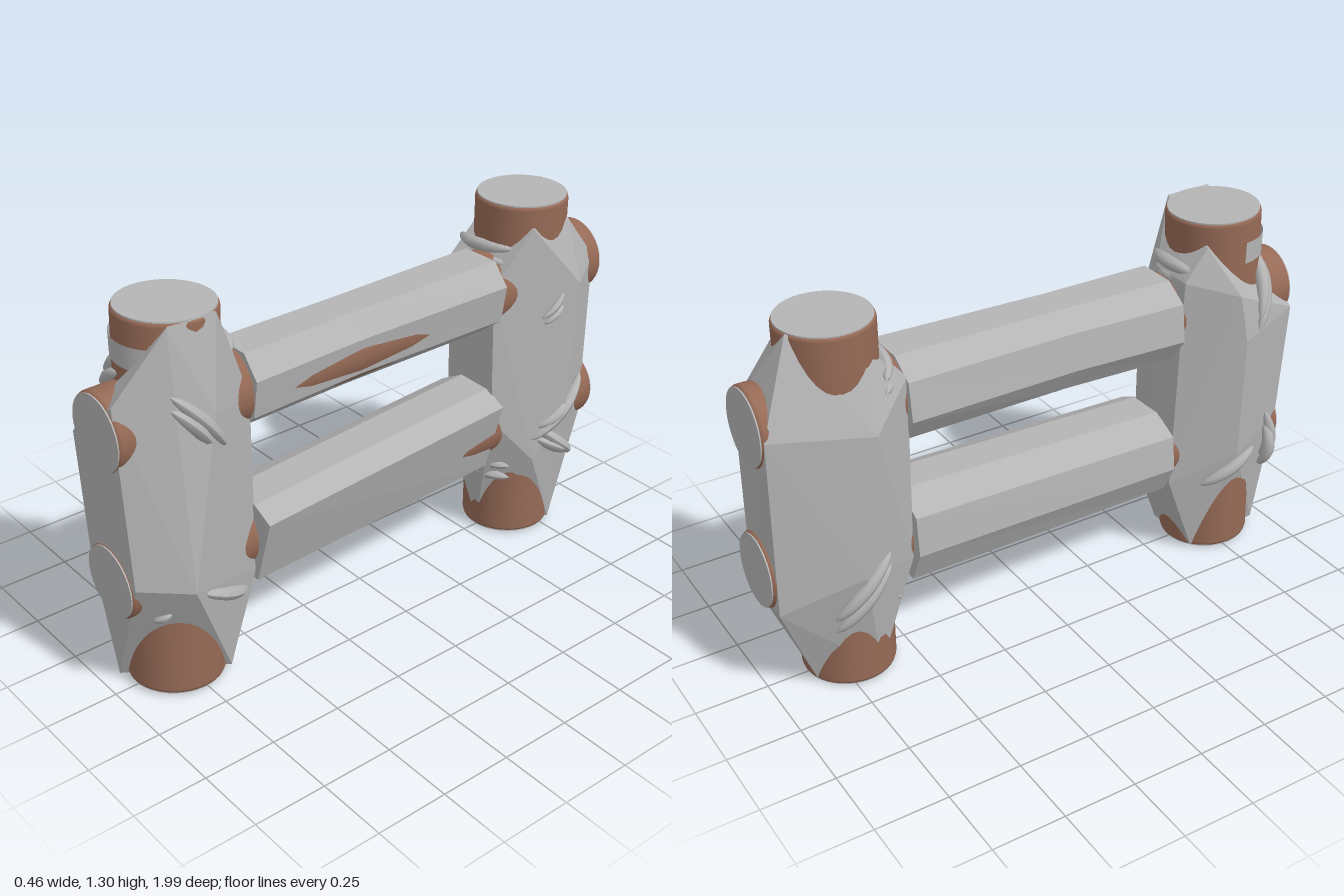
import * as THREE from 'three';
import { ConvexGeometry } from 'three/addons/geometries/ConvexGeometry.js';

const V = (x, y, z) => new THREE.Vector3(x, y, z);

export function createModel() {
  const model = new THREE.Group();
  const grey = new THREE.MeshStandardMaterial({ color: 0xb4b4b4, side: THREE.DoubleSide });
  grey.name = 'pale grey';
  const brown = new THREE.MeshStandardMaterial({ color: 0x966a56 });
  brown.name = 'bark brown';

  function add(name, geometry, material, parent = model) {
    const mesh = new THREE.Mesh(geometry, material);
    mesh.name = name;
    parent.add(mesh);
    return mesh;
  }

  // Round log between two points: softened brown rim, pale cut ends
  function log(name, a, b, r) {
    const g = new THREE.Group();
    const h = a.distanceTo(b) / 2;
    const rim = [[r - 0.012, h], [r - 0.003, h - 0.004], [r, h - 0.014]];
    const profile = [
      ...rim.map(([x, y]) => new THREE.Vector2(x, -y)),
      ...rim.reverse().map(([x, y]) => new THREE.Vector2(x, y)),
    ];
    add(name + 'Bark', new THREE.LatheGeometry(profile, 40), brown, g);
    for (const s of [-1, 1]) {
      const cap = add(name + 'CutEnd', new THREE.CylinderGeometry(r - 0.006, r - 0.006, 0.006, 40), grey, g);
      cap.position.y = s * (h - 0.001);
    }
    g.name = name;
    g.position.copy(a).add(b).multiplyScalar(0.5);
    g.quaternion.setFromUnitVectors(V(0, 1, 0), b.clone().sub(a).normalize());
    model.add(g);
  }
  log('frontPost', V(0, 0.005, 0.768), V(0, 1.29, 0.724), 0.16);
  log('backPost', V(0, 0.004, -0.705), V(0, 1.272, -0.71), 0.157);
  log('upperRail', V(0.005, 0.95, 0.988), V(0, 0.975, -0.988), 0.13);
  log('lowerRail', V(0, 0.425, 0.982), V(0, 0.463, -0.997), 0.127);

  // Faceted jackets around the posts
  const hull = (name, pts) => add(name, new ConvexGeometry(pts.map((p) => V(...p))), grey);
  hull('frontPostJacket', [
    [0.152, 1.29, 0.65], [0.156, 1.29, 0.82], [-0.125, 1.21, 0.61], [-0.16, 1.12, 0.68],
    [-0.13, 0.9, 0.988], [0.1, 1.07, 0.985], [0.14, 0.46, 0.978], [-0.11, 0.45, 0.978],
    [0.23, 0.43, 0.82], [0.2, 1.0, 0.7],
    [-0.23, 0.88, 0.72], [-0.22, 1.05, 0.69], [-0.2, 0.42, 0.74],
    [0.1, 0.95, 0.51], [0.04, 1.1, 0.53], [-0.12, 1.1, 0.53], [0.1, 0.32, 0.51], [-0.11, 0.32, 0.515],
    [-0.07, 0.01, 0.94], [0.12, 0.01, 0.635], [-0.1, 0.01, 0.635],
  ]);
  hull('backPostJacket', [
    [-0.06, 1.272, -0.86], [0.14, 1.2, -0.63], [0.14, 1.19, -0.8], [-0.13, 1.18, -0.65],
    [0.1, 1.0, -0.975], [-0.13, 0.98, -0.98], [0.08, 0.36, -0.985], [-0.13, 0.36, -0.985],
    [0.21, 0.98, -0.8], [0.2, 0.5, -0.78], [0.18, 0.32, -0.65],
    [-0.22, 0.95, -0.66], [-0.21, 0.45, -0.72],
    [0.1, 1.0, -0.5], [-0.12, 1.06, -0.505], [0.11, 0.5, -0.505], [-0.12, 0.4, -0.51],
    [0.14, 0.01, -0.79], [-0.06, 0.01, -0.85], [0.0, 0.01, -0.56], [-0.13, 0.02, -0.65],
  ]);

  // Faceted sleeves on the rails: one outline swept through [z, y, scaleX, scaleY, x]
  function sleeve(name, outline, sections) {
    const pos = [];
    const pt = (s, i) => {
      const [z, y, sx, sy, x] = sections[s];
      const [px, py] = outline[i % outline.length];
      return [x + px * sx, y + py * sy, z];
    };
    const last = sections.length - 1;
    for (let i = 0; i < outline.length; i++) {
      for (let s = 0; s < last; s++) {
        const a = pt(s, i), b = pt(s, i + 1), c = pt(s + 1, i + 1), d = pt(s + 1, i);
        pos.push(...a, ...b, ...c, ...a, ...c, ...d);
      }
      pos.push(0, sections[0][1], sections[0][0], ...pt(0, i + 1), ...pt(0, i));
      pos.push(0, sections[last][1], sections[last][0], ...pt(last, i), ...pt(last, i + 1));
    }
    const g = new THREE.BufferGeometry();
    g.setAttribute('position', new THREE.Float32BufferAttribute(pos, 3));
    g.computeVertexNormals();
    add(name, g, grey);
  }
  // outlines run clockwise as seen from the front; narrow spots let bark show through
  sleeve('upperRailSleeve', [
    [0.145, 0.06], [0.125, -0.07], [0.04, -0.14], [-0.09, -0.14],
    [-0.15, -0.05], [-0.132, 0.08], [-0.05, 0.134], [0.085, 0.134],
  ], [[0.515, 0.953, 1.02, 1, 0], [0.09, 0.96, 0.935, 0.985, 0], [-0.51, 0.966, 1.04, 1, 0]]);
  sleeve('lowerRailSleeve', [
    [0.18, 0.1], [0.105, -0.135], [-0.09, -0.135],
    [-0.145, -0.03], [-0.13, 0.09], [-0.03, 0.14], [0.1, 0.138],
  ], [[0.515, 0.424, 1, 1.03, 0.01], [-0.51, 0.46, 1, 1.14, -0.02]]);

  // Band round the front of the front post, below its top
  add('frontPostBand', new THREE.CylinderGeometry(0.166, 0.166, 0.075, 30, 1, true, -1.5, 3), grey)
    .position.set(0, 1.175, 0.728);

  // Lashing strands: bowed tubes that taper to both ends
  function strand(a, b, out, r = 0.023) {
    const A = V(...a), B = V(...b);
    const mid = A.clone().add(B).multiplyScalar(0.5).add(V(...out));
    const curve = new THREE.QuadraticBezierCurve3(A, mid, B);
    const segs = 14, sides = 8;
    const g = new THREE.TubeGeometry(curve, segs, r, sides);
    const p = g.attributes.position, v = V(0, 0, 0);
    for (let i = 0; i < p.count; i++) {
      const t = Math.floor(i / (sides + 1)) / segs;
      const c = curve.getPointAt(t);
      v.fromBufferAttribute(p, i).sub(c).multiplyScalar(Math.sqrt(Math.sin(Math.PI * t) + 1e-6)).add(c);
      p.setXYZ(i, v.x, v.y, v.z);
    }
    g.computeVertexNormals();
    add('lashingStrand', g, grey);
  }
  for (const d of [0, 1]) {
    const o = d * 0.045;
    // front post, upper lashing
    strand([0.18, 1.09 - o, 0.84], [0.17, 0.86 + o / 4, 0.65 + o], [0.05, 0.03, 0]);
    strand([-0.22, 0.9 + o, 0.78], [0.0, 1.11 + o, 0.88 - o], [-0.04, 0.05, 0.06]);
    strand([-0.13, 1.08 + o, 0.575], [0.11, 1.08 + o, 0.575], [0, 0.01, -0.06]);
    // front post, lower lashing
    strand([-0.17, 0.53 - o, 0.88], [-0.11 - o, 0.31, 0.92 - o], [-0.06, -0.02, 0.02]);
    // back post, upper lashing
    strand([-0.17, 1.05 + o, -0.6], [0.1, 1.08 + o, -0.56 - o / 2], [-0.02, 0, 0.08]);
    strand([0.185, 0.95 - o, -0.75], [0.185, 0.88 - o / 2, -0.65 - o / 4], [0.025, 0, 0], 0.012);
    // back post, crossed lower lashing
    strand([0.15, 0.58 - o, -0.9 + o], [0.17, 0.4 + o, -0.64 - o / 2], [0.07, -0.01, 0]);
    strand([0.17, 0.45 - o, -0.66], [0.13, 0.25 + o / 2, -0.89 + o / 2], [0.07, 0, 0]);
    strand([-0.18, 0.5 - o, -0.62], [-0.17, 0.3 - o, -0.82], [-0.05, 0, 0]);
    strand([-0.14, 0.32 - o, -0.575], [0.14, 0.3 - o, -0.58], [0, -0.04, 0.05]);
  }
  strand([0.2, 0.4, 0.78], [0.13, 0.29, 0.57], [0.04, 0, 0]);
  strand([0.1, 0.3, 0.9], [0.16, 0.34, 0.87], [0.02, 0, 0.02], 0.012);
  strand([-0.19, 0.42, 0.82], [-0.15, 0.3, 0.62], [-0.05, 0, 0]);

  return model;
}
